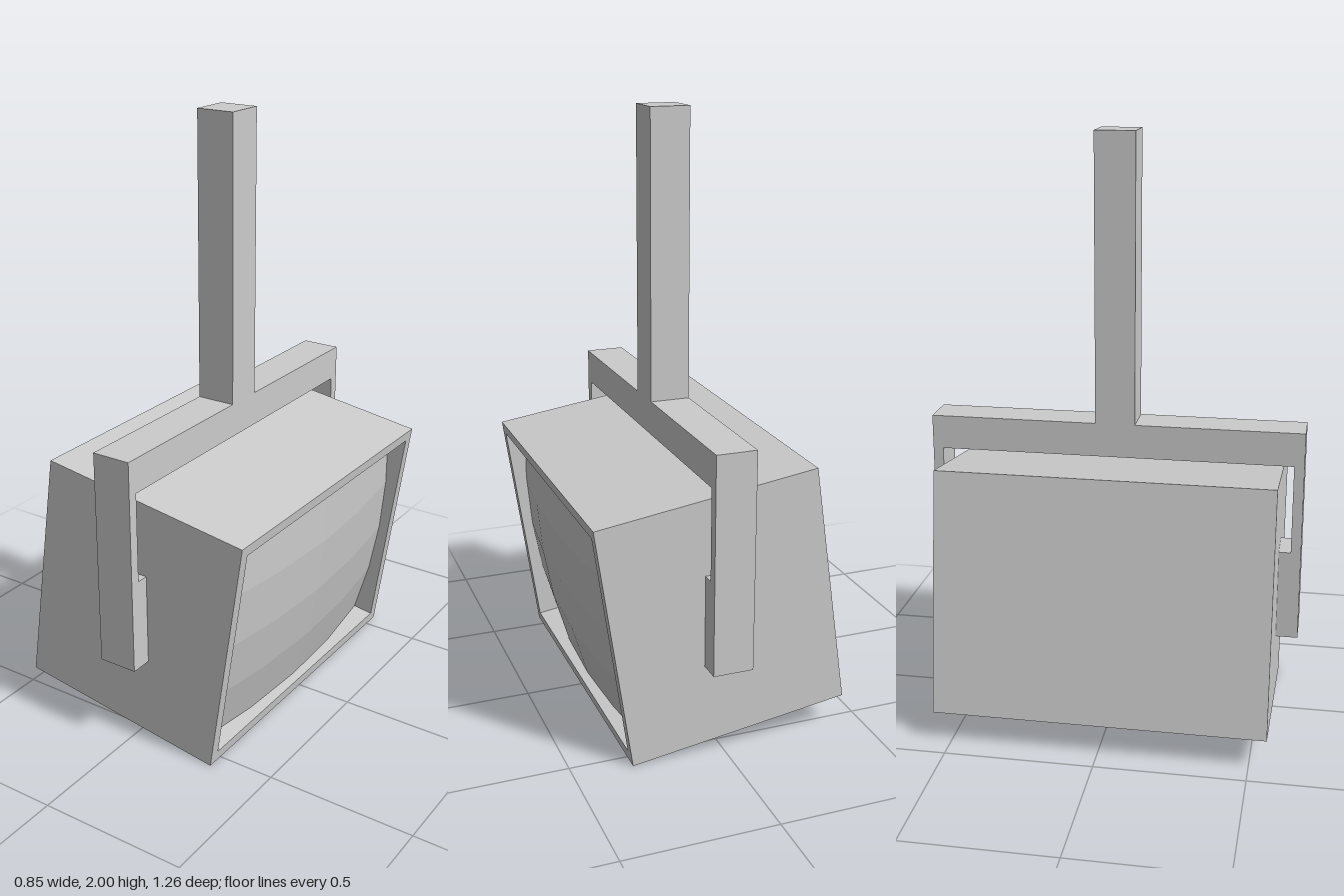
import * as THREE from 'three';

const material = new THREE.MeshStandardMaterial({ color: 0xcccccc, flatShading: true });

function part(name, geometry) {
  const mesh = new THREE.Mesh(geometry, material);
  mesh.name = name;
  return mesh;
}

// Outline drawn across the depth (z) and height, extruded along x
function extrudeAlongX(shape, depth) {
  return new THREE.ExtrudeGeometry(shape, { depth, bevelEnabled: false }).rotateY(Math.PI / 2);
}

function rectangle(Type, w, h) {
  const points = [[-w, -h], [w, -h], [w, h], [-w, h]];
  return new Type(points.map(([x, y]) => new THREE.Vector2(x / 2, y / 2)));
}

export function createModel() {
  const model = new THREE.Group();
  model.name = 'hangingMonitor';

  // Ceiling post, crossbar, side arms and pads as one mirrored outline
  const half = [
    [0.067, 2], [0.067, 1.04], [0.632, 1.04], [0.632, 0.31],
    [0.558, 0.31], [0.558, 0.62], [0.598, 0.62], [0.598, 0.925],
  ];
  const outline = [...half, ...half.map(([x, y]) => [-x, y]).reverse()];
  const bracketShape = new THREE.Shape(outline.map(([x, y]) => new THREE.Vector2(x, y)));
  const bracketWidth = 0.134;
  const bracket = part('bracket', extrudeAlongX(bracketShape, bracketWidth));
  bracket.position.x = -bracketWidth / 2 - 0.002;
  model.add(bracket);

  // Monitor tilted down towards its screen side (+x)
  const length = 0.743, height = 0.825, width = 1.116, rim = 0.036, recess = 0.085;
  const monitor = new THREE.Group();
  monitor.name = 'monitor';
  monitor.position.set(-0.002, 0.465, 0);
  monitor.rotation.z = -0.145;
  model.add(monitor);

  const casing = part('casing', new THREE.BoxGeometry(length - recess, height, width));
  casing.position.x = -recess / 2;

  // Rim around the recessed screen
  const rimShape = rectangle(THREE.Shape, width, height);
  rimShape.holes.push(rectangle(THREE.Path, width - 2 * rim, height - 2 * rim));
  const frame = part('screenFrame', extrudeAlongX(rimShape, recess));
  frame.position.x = length / 2 - recess;

  // Faceted bulging glass, deepest at the corners
  const w = width - 2 * rim, h = height - 2 * rim;
  const glass = new THREE.PlaneGeometry(w, h, 4, 4);
  const p = glass.attributes.position;
  for (let i = 0; i < p.count; i++) {
    const u = p.getX(i) / (w / 2), v = p.getY(i) / (h / 2);
    p.setZ(i, 0.006 - 0.042 * u * u - 0.036 * v * v);
  }
  glass.rotateY(Math.PI / 2).computeVertexNormals();
  const screen = part('screen', glass);
  screen.position.x = length / 2;

  monitor.add(casing, frame, screen);
  return model;
}
